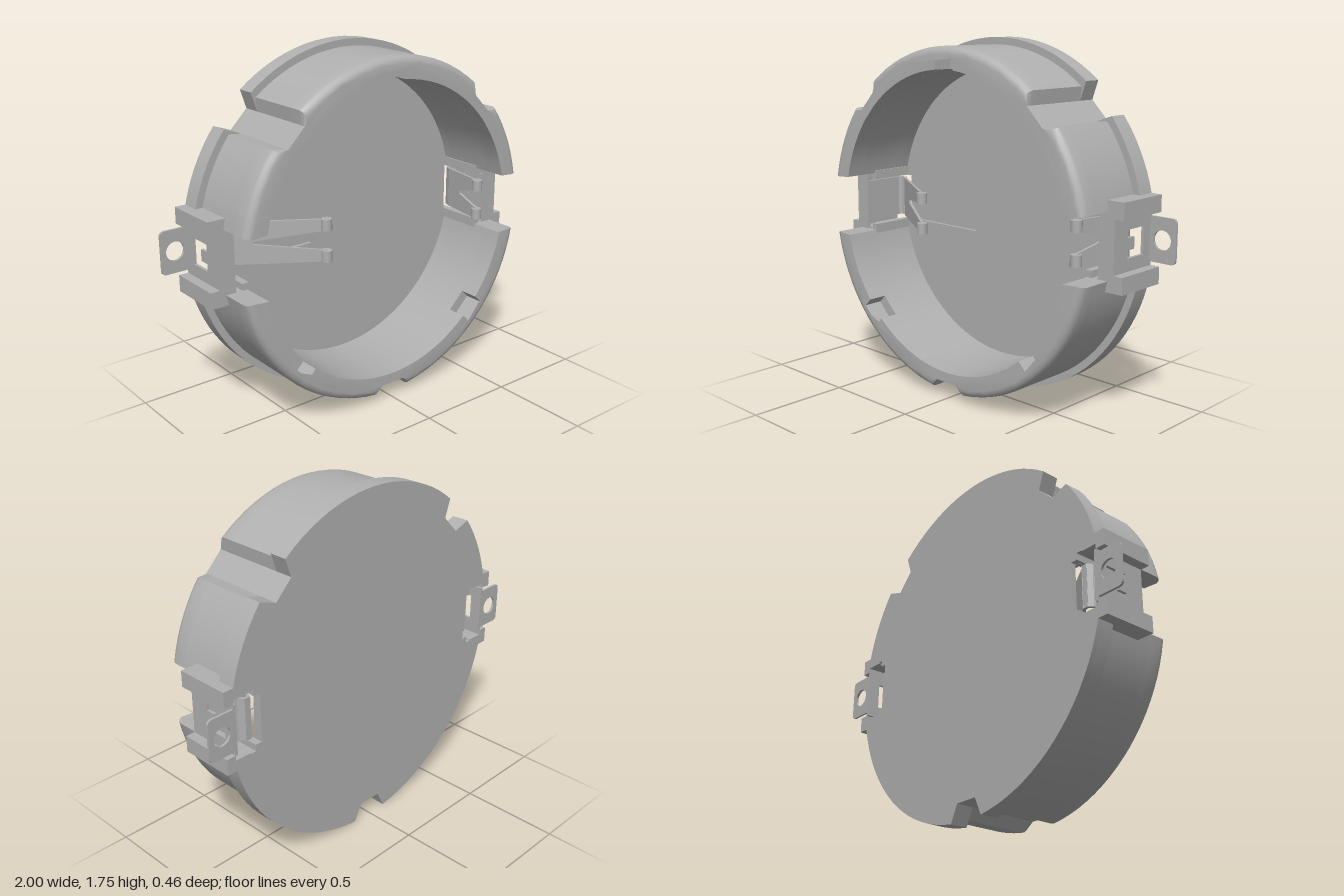
import * as THREE from 'three';
import { toCreasedNormals } from 'three/addons/utils/BufferGeometryUtils.js';

const PI = Math.PI, RAD = PI / 180;
const R_FLANGE = 0.88, R_BODY = 0.845, R_IN = 0.737, GAP = 0.155;

// Arc points with straight-sided cuts: [angle, half width at arc, half width at depth, depth radius]
function arcPoints(R, from, to, cuts = []) {
  const pts = [];
  const sweep = (a, b) => {
    const n = Math.max(1, Math.ceil((b - a) / (4 * RAD)));
    for (let i = 0; i <= n; i++) {
      const t = a + (b - a) * i / n;
      pts.push(new THREE.Vector2(R * Math.cos(t), R * Math.sin(t)));
    }
  };
  let a = from;
  for (const [deg, wo, wi, ri] of cuts) {
    const t = deg * RAD, h = Math.asin(wo / R);
    sweep(a, t - h);
    for (const w of [-wi, wi]) {
      pts.push(new THREE.Vector2(ri, w).rotateAround(new THREE.Vector2(), t));
    }
    a = t + h;
  }
  sweep(a, to);
  return pts;
}

const notch = deg => [deg, 0.105, 0.063, 0.787];
const pocket = deg => [deg, 0.06, 0.06, 0.79];

// Half ring, open at both sides for the contacts
function halfRing(R, base, notches, pockets = []) {
  const ends = r => [base + Math.asin(GAP / r), base + PI - Math.asin(GAP / r)];
  const outer = arcPoints(R, ...ends(R), notches);
  const inner = arcPoints(R_IN, ...ends(R_IN), pockets);
  return new THREE.Shape([...outer, ...inner.reverse()]);
}

export function createModel() {
  const model = new THREE.Group();
  model.name = 'coinCellHolder';
  const root = new THREE.Group();
  root.name = 'holder';
  root.position.y = 0.88;
  model.add(root);

  const grey = new THREE.MeshStandardMaterial({ color: 0xb0b0b0 });
  grey.name = 'grey';

  const add = (parent, name, geo) => {
    const m = new THREE.Mesh(geo, grey);
    m.name = name;
    parent.add(m);
    return m;
  };
  const slab = (parent, name, shape, z0, z1) => {
    const g = new THREE.ExtrudeGeometry(shape, { depth: z1 - z0, bevelEnabled: false, curveSegments: 16 });
    g.translate(0, 0, z0);
    return add(parent, name, toCreasedNormals(g, 0.4));
  };
  const box = (parent, name, x0, x1, y0, y1, z0, z1) => {
    const g = new THREE.BoxGeometry(x1 - x0, y1 - y0, z1 - z0);
    g.translate((x0 + x1) / 2, (y0 + y1) / 2, (z0 + z1) / 2);
    return add(parent, name, g);
  };

  // Floor: back plate, then an upper layer with the contact recess
  const start = 20 * RAD, end = 380 * RAD;
  const sideCut = deg => [deg, GAP, GAP, 0.71];
  slab(root, 'backPlate', new THREE.Shape(arcPoints(R_FLANGE, start, end,
    [notch(45), notch(135), sideCut(180), notch(270), sideCut(360)])), -0.23, -0.205);
  slab(root, 'floor', new THREE.Shape(arcPoints(R_IN + 0.004, start, end,
    [[180, 0.12, 0.12, 0.19], sideCut(360)])), -0.205, -0.185);

  // Wall halves: flange, wall, and rim with a rounded outer edge
  const rimLevels = [[0.13, R_BODY], [0.195, R_BODY], [0.212, 0.84], [0.224, 0.829], [0.23, 0.812]];
  const halves = [
    [0, [notch(45), notch(135)], [pocket(90)]],
    [PI, [notch(270)], [pocket(225), pocket(315)]],
  ];
  for (const [base, notches, pockets] of halves) {
    slab(root, 'flange', halfRing(R_FLANGE, base, notches), -0.205, -0.14);
    slab(root, 'wall', halfRing(R_BODY, base, notches), -0.14, 0.13);
    const g = new THREE.ExtrudeGeometry(halfRing(R_BODY, base, notches, pockets),
      { depth: 4, steps: 4, bevelEnabled: false });
    const p = g.attributes.position;
    for (let i = 0; i < p.count; i++) {
      const [z, rMax] = rimLevels[Math.round(p.getZ(i))];
      const r = Math.hypot(p.getX(i), p.getY(i));
      const k = r > 0.8 ? Math.min(1, rMax / r) : 1;
      p.setXYZ(i, p.getX(i) * k, p.getY(i) * k, z);
    }
    add(root, 'rim', toCreasedNormals(g, 0.6));
  }

  // Thin strip following x,z points, spanning y0..y1
  const strip = (parent, name, pts, y0, y1, t = 0.014) => {
    for (let i = 0; i + 1 < pts.length; i++) {
      const [ax, az] = pts[i], [bx, bz] = pts[i + 1];
      const m = add(parent, name, new THREE.BoxGeometry(Math.hypot(bx - ax, bz - az) + t * 0.6, y1 - y0, t));
      m.position.set((ax + bx) / 2, (y0 + y1) / 2, (az + bz) / 2);
      m.rotation.y = -Math.atan2(bz - az, bx - ax);
    }
  };

  // Forked spring arm from one x,z point to another
  const springArm = (parent, [ax, az], [bx, bz], solid) => {
    const L = Math.hypot(bx - ax, bz - az);
    const s = new THREE.Shape([[0, -0.105], [L, -0.105], [L, -0.05], [solid, -0.008],
      [solid, 0.008], [L, 0.05], [L, 0.105], [0, 0.105]].map(q => new THREE.Vector2(...q)));
    const arm = new THREE.Group();
    arm.name = 'springArm';
    arm.position.set(ax, 0, az);
    arm.rotation.y = -Math.atan2(bz - az, bx - ax);
    parent.add(arm);
    slab(arm, 'fork', s, -0.007, 0.007);
    for (const y of [-0.078, 0.078]) {
      add(arm, 'forkTip', new THREE.CylinderGeometry(0.027, 0.027, 0.055, 14)).position.set(L - 0.01, y, 0);
    }
  };

  // Side terminals, built on +x and turned half round for -x
  for (const side of [1, -1]) {
    const t = new THREE.Group();
    t.name = side > 0 ? 'leftTerminal' : 'rightTerminal';
    if (side < 0) t.rotation.z = PI;
    root.add(t);

    // Bracket blocks with a narrow slit
    for (const s of [1, -1]) {
      const span = (a, b) => s > 0 ? [a, b] : [-b, -a];
      box(t, 'bracket', 0.86, 0.91, ...span(0.125, 0.205), -0.23, 0.05);
      box(t, 'bracketCore', 0.775, 0.86, ...span(0.15, 0.205), -0.23, 0.05);
      box(t, 'bracketWeb', 0.735, 0.78, ...span(0.165, 0.2), -0.23, 0.05);
      box(t, 'bracketPost', 0.71, 0.745, ...span(0.122, 0.17), -0.23, 0.05);
    }

    // Solder tab with rounded corners and a hole
    const c = 0.025, w = 0.105, tab = new THREE.Shape();
    tab.moveTo(0.85, -w).lineTo(1 - c, -w).quadraticCurveTo(1, -w, 1, -w + c)
      .lineTo(1, w - c).quadraticCurveTo(1, w, 1 - c, w).lineTo(0.85, w).closePath();
    tab.holes.push(new THREE.Path().absarc(0.928, 0, 0.046, 0, 2 * PI, true));
    slab(t, 'solderTab', tab, -0.23, -0.218);

    // Outer leg with a window and tongue
    box(t, 'outerLegTop', 0.848, 0.862, -0.15, 0.15, -0.05, 0.05);
    box(t, 'outerLegBottom', 0.848, 0.862, -0.125, 0.125, -0.23, -0.17);
    for (const y of [-0.095, 0.095]) {
      box(t, 'outerLegSide', 0.848, 0.862, y - 0.03, y + 0.03, -0.17, -0.05);
    }
    box(t, 'windowTongue', 0.848, 0.862, -0.028, 0.028, -0.1, -0.05);

    // Strap over the top, inner leg and hook
    box(t, 'strap', 0.78, 0.862, -0.15, 0.15, 0.036, 0.05);
    const foot = side > 0
      ? [[0.787, 0.04], [0.78, -0.16], [0.765, -0.19], [0.742, -0.19], [0.73, -0.16]]
      : [[0.787, 0.04], [0.78, -0.17], [0.765, -0.19], [0.742, -0.19], [0.72, -0.17]];
    strip(t, 'innerLeg', foot, -0.105, 0.105);
    if (side > 0) springArm(t, foot[4], [0.685, 0.1], 0.1);
    else springArm(t, foot[4], [0.295, 0.1], 0.15);
  }
  return model;
}
